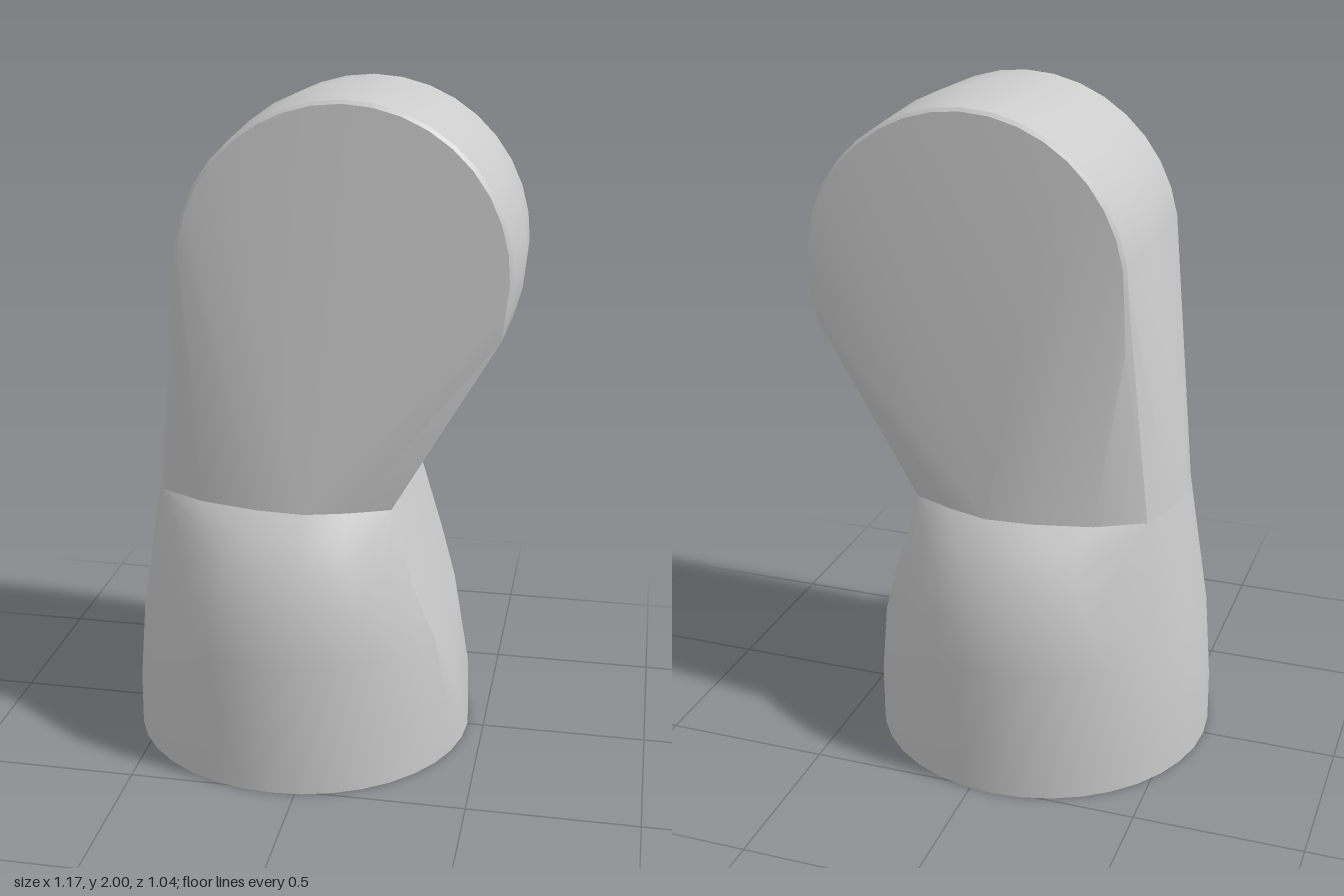
import * as THREE from 'three';
import { ConvexGeometry } from 'three/addons/geometries/ConvexGeometry.js';
import { mergeVertices, toCreasedNormals } from 'three/addons/utils/BufferGeometryUtils.js';

const material = new THREE.MeshStandardMaterial({ color: 0xcccccc });
const V = (x, y, z) => new THREE.Vector3(x, y, z);

// Convex body around a cloud of points, with crisp edges on the sharp folds
function hull(name, points) {
  const geometry = toCreasedNormals(mergeVertices(new ConvexGeometry(points), 1e-4), 0.4);
  const mesh = new THREE.Mesh(geometry, material);
  mesh.name = name;
  return mesh;
}

// Round base section whose +x side is cut by a sloping plane
function baseRing(y, rx, rz, cut) {
  const points = [];
  const limit = Math.min(1, (cut + 0.07) / rx);
  const start = Math.acos(limit);
  const n = 36;
  for (let i = 0; i <= n; i++) {
    const a = start + (i / n) * (2 * Math.PI - 2 * start);
    points.push(V(-0.07 + rx * Math.cos(a), y, rz * Math.sin(a)));
  }
  return points;
}

// Outline of the waist where base and arm meet
function waist() {
  const half = [[0.24, 0.28], [0.12, 0.33], [0, 0.365], [-0.14, 0.355], [-0.31, 0.315], [-0.45, 0.24], [-0.49, 0.12], [-0.505, 0]];
  return half.flatMap(([x, z]) => [V(x, 0.82, z), V(x, 0.82, -z)]);
}

// Upper arc of the rounded head, kept above the lower edge of its flat face
function headArc(radius, z) {
  const points = [];
  const start = Math.asin(-0.17 / radius);
  const n = 22;
  for (let i = 0; i <= n; i++) {
    const a = start + (i / n) * (Math.PI - 2 * start);
    points.push(V(0.09 + radius * Math.cos(a), 1.51 + radius * Math.sin(a), z));
  }
  return points;
}

export function createModel() {
  const group = new THREE.Group();
  group.name = 'bentJoint';

  // Round foot narrowing to the waist
  group.add(hull('base', [
    ...baseRing(0, 0.52, 0.52, 0.45),
    ...baseRing(0.16, 0.519, 0.519, 0.435),
    ...baseRing(0.4, 0.5, 0.514, 0.372),
    ...baseRing(0.55, 0.475, 0.5, 0.322),
    ...baseRing(0.67, 0.455, 0.46, 0.282),
    ...baseRing(0.75, 0.443, 0.42, 0.258),
    ...waist(),
  ]));

  // Leaning arm ending in a flat-sided round head
  const head = [...headArc(0.49, 0), V(-0.42, 1.34, 0), V(-0.405, 1.5, 0)];
  for (const s of [-1, 1]) {
    head.push(...headArc(0.478, s * 0.275), ...headArc(0.468, s * 0.284));
    head.push(V(-0.41, 1.34, s * 0.24), V(-0.385, 1.34, s * 0.284), V(0.54, 1.34, s * 0.284));
  }
  group.add(hull('arm', [...waist(), ...head]));

  return group;
}
